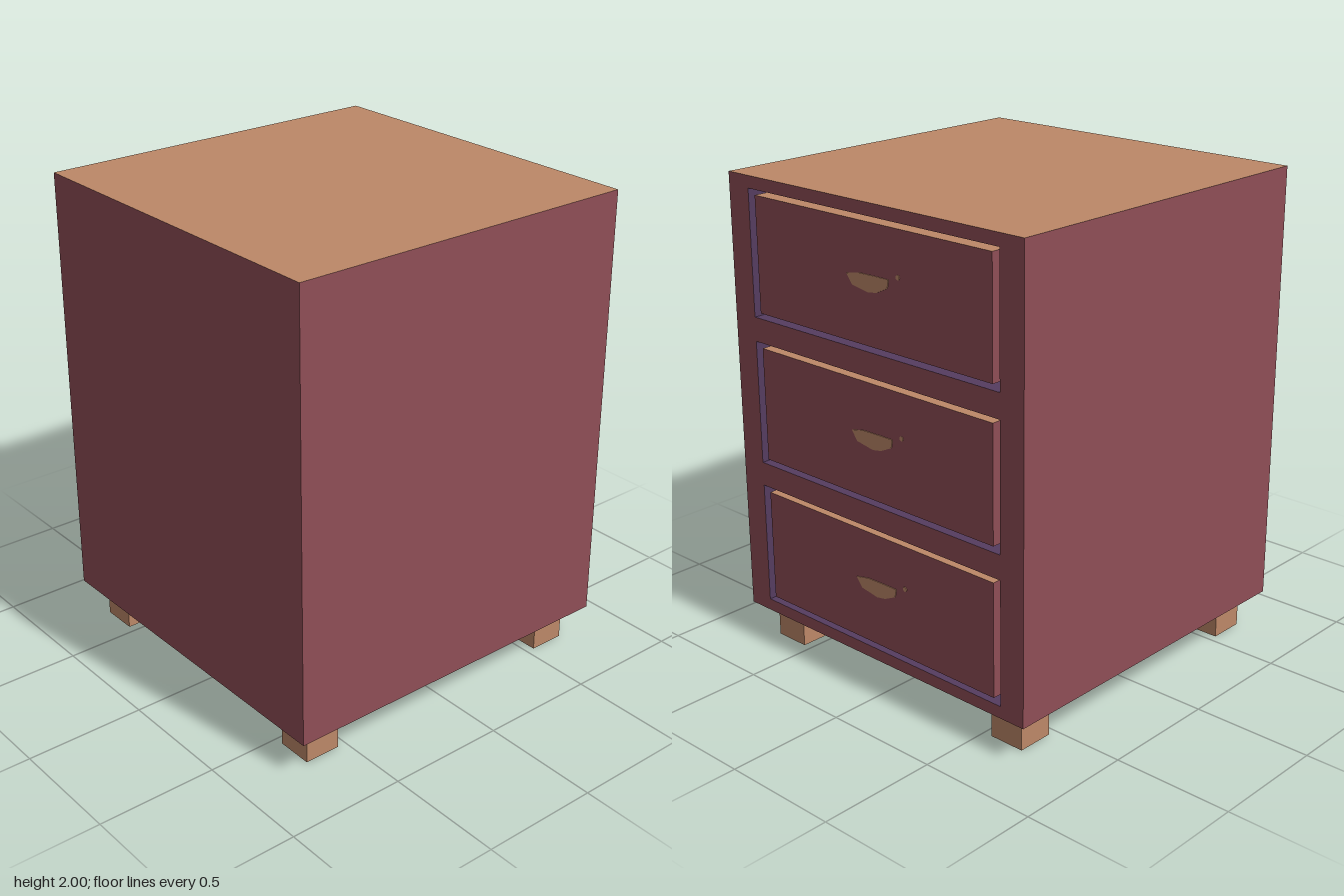
import * as THREE from 'three';

const mat = (name, color) => {
  const m = new THREE.MeshStandardMaterial({ color });
  m.name = name;
  return m;
};

export function createModel() {
  const red = mat('redPaint', 0x8f4e56);
  const tan = mat('tanWood', 0xbd8868);
  const dark = mat('darkUnderside', 0x1c1c22);
  const purple = mat('purpleLining', 0x553c60);
  purple.side = THREE.DoubleSide;

  const group = new THREE.Group();
  group.name = 'drawerCabinet';
  const add = (name, geometry, material, x = 0, y = 0, z = 0) => {
    const mesh = new THREE.Mesh(geometry, material);
    mesh.name = name;
    mesh.position.set(x, y, z);
    group.add(mesh);
    return mesh;
  };
  // Box without its -z face
  const openBox = (w, h, d) => {
    const g = new THREE.BoxGeometry(w, h, d);
    g.setIndex(Array.from(g.index.array).slice(0, 30));
    g.groups.pop();
    return g;
  };

  const half = 0.768, bottom = 0.155, top = 2;
  const height = top - bottom, pitch = height / 3;
  const openW = 1.31, openH = 0.515, depth = 1.3;
  const gapX = 0.035, gapY = 0.022;
  const rows = [0, 1, 2].map((i) => bottom + pitch * (i + 0.5));

  // Carcass: red walls, tan top, dark underside, open on the drawer side
  add('carcass', openBox(2 * half, height, 2 * half),
    [red, red, tan, dark, red], 0, bottom + height / 2, 0);

  // Face frame with three openings
  const rect = (path, x, y, w, h) => path.moveTo(x - w / 2, y - h / 2)
    .lineTo(x + w / 2, y - h / 2).lineTo(x + w / 2, y + h / 2)
    .lineTo(x - w / 2, y + h / 2).closePath();
  const face = rect(new THREE.Shape(), 0, bottom + height / 2, 2 * half, height);
  for (const y of rows) face.holes.push(rect(new THREE.Path(), 0, y, openW, openH));
  add('faceFrame', new THREE.ShapeGeometry(face), red, 0, 0, -half).rotation.y = Math.PI;

  // Cup-shaped pull, and its small stud
  const pull = new THREE.Shape([
    [-0.11, 0.025], [-0.045, 0.038], [0.045, 0.04], [0.112, 0.04],
    [0.105, 0.006], [0.05, -0.02], [0.005, -0.028], [-0.08, -0.014],
  ].map(([x, y]) => new THREE.Vector2(x, y)));
  const pullGeo = new THREE.ExtrudeGeometry(pull, { depth: 0.004, bevelEnabled: false });
  const studGeo = new THREE.CylinderGeometry(0.01, 0.01, 0.004, 8).rotateX(Math.PI / 2);

  // Drawers in lined wells, flush with the frame
  for (const y of rows) {
    add('drawerWell', openBox(openW, openH, depth), purple, 0, y, -half + depth / 2);
    add('drawer', new THREE.BoxGeometry(openW - 2 * gapX, openH - 2 * gapY, depth - 0.02),
      [red, red, tan, red, red, red], 0, y, -half + depth / 2 - 0.01 + 0.002);
    add('drawerPull', pullGeo, tan, 0, y, -half + 0.003).rotation.y = Math.PI;
    add('pullStud', studGeo, tan, -0.16, y + 0.057, -half + 0.001);
  }

  // Four square feet
  for (const x of [-0.615, 0.615]) for (const z of [-0.615, 0.615]) {
    add('foot', new THREE.BoxGeometry(0.155, bottom, 0.155),
      [tan, tan, tan, dark, tan, tan], x, bottom / 2, z);
  }
  return group;
}
